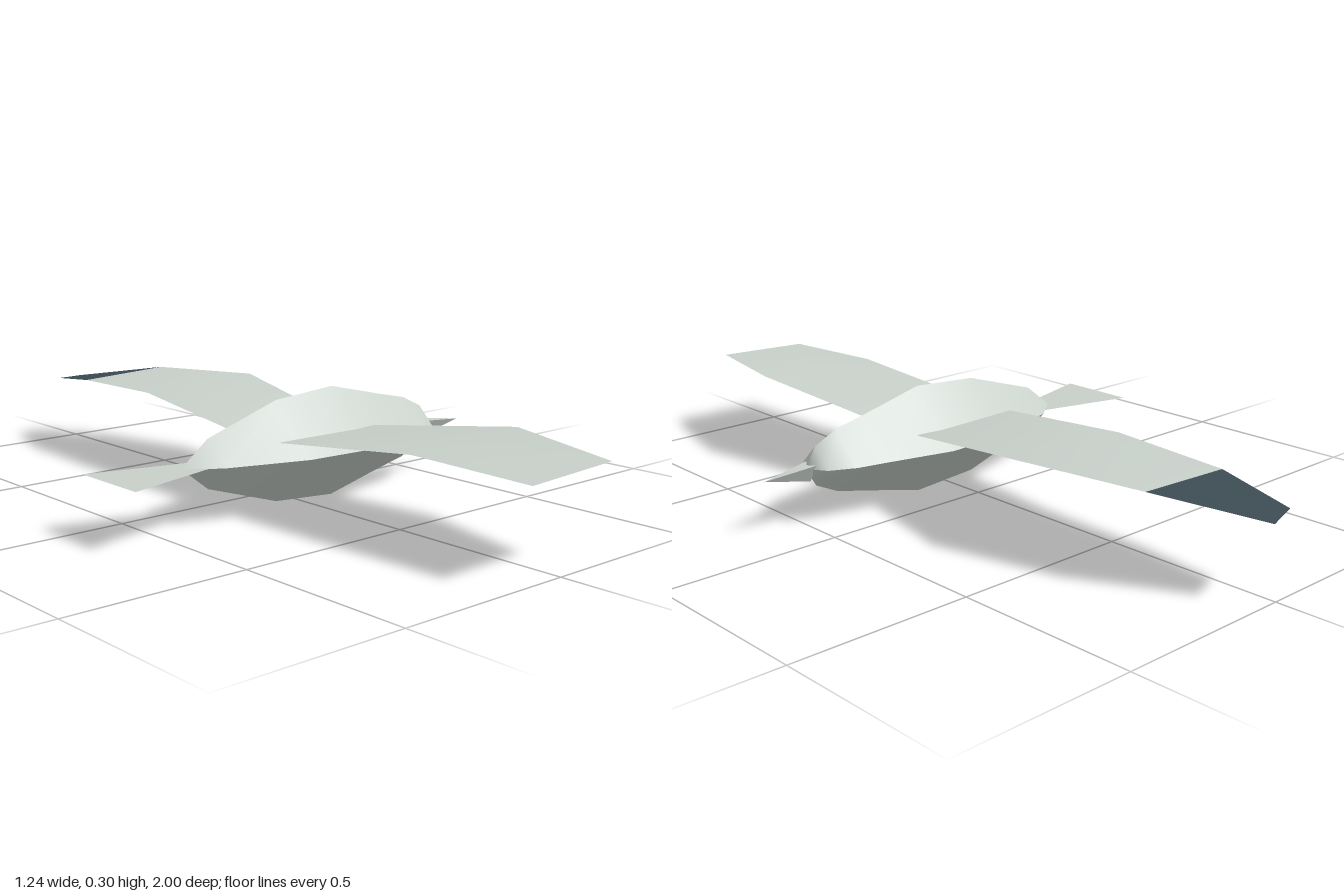
import * as THREE from 'three';
import { toCreasedNormals } from 'three/addons/utils/BufferGeometryUtils.js';

const CY = 0.153, CZ = 0.128; // height and depth of the body axis

export function createModel() {
  const plumage = new THREE.MeshStandardMaterial({ name: 'pale grey plumage', color: 0xc8d0ca, side: THREE.DoubleSide });
  const dark = new THREE.MeshStandardMaterial({ name: 'dark wing tip', color: 0x3c4b53, side: THREE.DoubleSide });
  const model = new THREE.Group();
  model.name = 'bird';

  const add = (name, geometry, material, parent = model) => {
    const mesh = new THREE.Mesh(geometry, material);
    mesh.name = name;
    parent.add(mesh);
    return mesh;
  };

  // Surface made of strips between successive [trailing, leading] point pairs
  const strip = (pairs, flip) => {
    const pos = [];
    for (let i = 0; i < pairs.length - 1; i++) {
      const [a, b] = pairs[i], [c, d] = pairs[i + 1];
      const tris = flip ? [a, d, b, a, c, d] : [a, b, d, a, d, c];
      tris.forEach(p => pos.push(...p));
    }
    const g = new THREE.BufferGeometry();
    g.setAttribute('position', new THREE.Float32BufferAttribute(pos, 3));
    return toCreasedNormals(g, 0.5);
  };

  // Body: four-sided spindle lying along x, ridges at top, bottom and sides
  const profile = [[0, -0.405], [0.066, -0.32], [0.138, -0.09], [0.152, 0.11], [0.109, 0.29],
    [0.087, 0.39], [0.054, 0.46], [0.012, 0.486], [0, 0.487]].map(p => new THREE.Vector2(...p));
  const bodyGeo = new THREE.LatheGeometry(profile, 4).rotateZ(-Math.PI / 2);
  add('body', toCreasedNormals(bodyGeo, 0.8), plumage).position.set(0, CY, CZ);

  // Beak: three-sided spike with a flat top and a low tip
  const tip = [0.622, 0.147, CZ];
  const base = [[0.475, 0.163, CZ - 0.024], [0.475, 0.163, CZ + 0.024], [0.478, 0.115, CZ]];
  const beakPos = [...base[0], ...base[2], ...base[1]];
  base.forEach((p, i) => beakPos.push(...p, ...base[(i + 1) % 3], ...tip));
  const beakGeo = new THREE.BufferGeometry();
  beakGeo.setAttribute('position', new THREE.Float32BufferAttribute(beakPos, 3));
  beakGeo.computeVertexNormals();
  add('beak', beakGeo, plumage);

  // Tail: flat fan widening to the rear
  add('tail', strip([
    [[-0.622, CY, CZ - 0.113], [-0.622, CY, CZ + 0.113]],
    [[-0.2, CY, CZ - 0.005], [-0.2, CY, CZ + 0.005]],
  ], true), plumage);

  // Wings: thin bent sheets, mirrored about the body axis
  const root = [[-0.16, 0.2, 0.09], [0.19, 0.2, 0.09]];
  const wrist = [[-0.13, 0.241, 0.526], [0.256, 0.255, 0.526]];
  const outer = [[-0.115, 0.231, 0.873], [0.17, 0.242, 0.873]];
  const end = [[-0.073, 0.203, 1.1], [0.025, 0.198, 1.128]];
  for (const s of [1, -1]) {
    const place = pairs => strip(pairs.map(pr => pr.map(([x, y, z]) => [x, y, CZ + s * z])), s > 0);
    const wing = new THREE.Group();
    wing.name = s > 0 ? 'rightWing' : 'leftWing';
    add('wingPanel', place([root, wrist, outer]), plumage, wing);
    // Only the far wing carries a dark tip
    if (s < 0) add('wingTip', place([outer, end]), dark, wing);
    model.add(wing);
  }
  // Make sure every wing and tail sheet faces upward
  model.traverse(o => {
    if (!/wing(Panel|Tip)|tail/.test(o.name)) return;
    const n = o.geometry.attributes.normal, p = o.geometry.attributes.position;
    if (n.getY(0) > 0) return;
    for (let i = 0; i < p.count; i += 3) {
      const v = [p.getX(i), p.getY(i), p.getZ(i)];
      p.setXYZ(i, p.getX(i + 1), p.getY(i + 1), p.getZ(i + 1));
      p.setXYZ(i + 1, ...v);
    }
    o.geometry = toCreasedNormals(o.geometry, 0.5);
  });
  return model;
}
